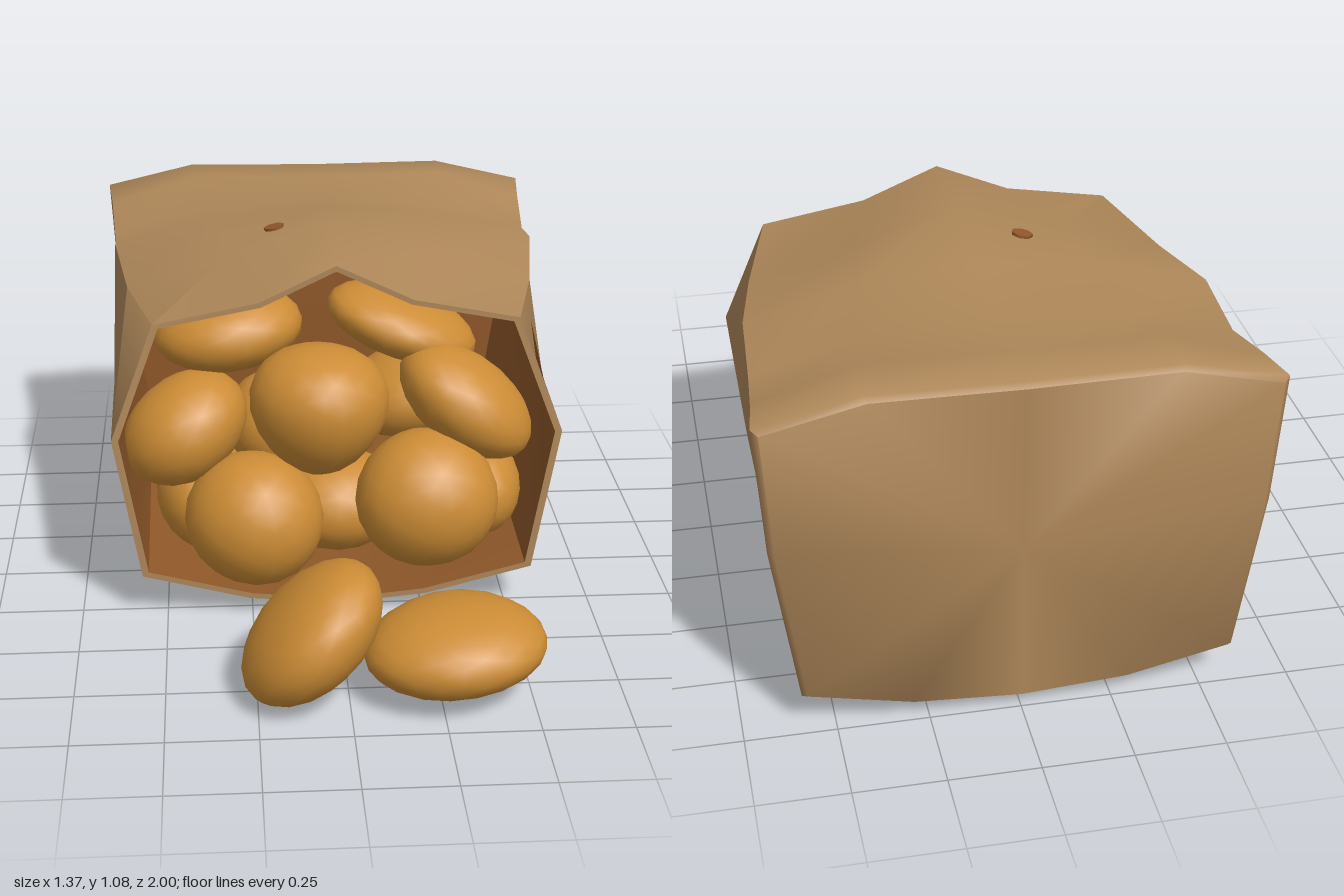
import * as THREE from 'three';
import { mergeVertices, toCreasedNormals } from 'three/addons/utils/BufferGeometryUtils.js';

const mat = (name, color, extra = {}) =>
  Object.assign(new THREE.MeshStandardMaterial({ color, ...extra }), { name });

// Closed ring from a half section (bottom centre to top centre), mirrored in x.
// lean pulls the upper points back, for the slanted mouth.
function ring(z, half, lean = 0) {
  const all = [...half, ...half.slice(1, -1).reverse().map(([x, y]) => [-x, y])];
  return all.map(([x, y]) => new THREE.Vector3(x, y, z - lean * Math.max(0, (y - 0.58) / 0.48)));
}

const inset = (r, k, dz = 0) =>
  r.map(p => new THREE.Vector3(p.x * k, 0.54 + (p.y - 0.54) * k, p.z + dz));

// Skin between consecutive rings
function loft(rings, crease) {
  const n = rings[0].length, pos = [], idx = [];
  rings.forEach(r => r.forEach(p => pos.push(p.x, p.y, p.z)));
  for (let s = 0; s < rings.length - 1; s++) {
    for (let i = 0; i < n; i++) {
      const a = s * n + i, b = s * n + (i + 1) % n;
      idx.push(a, a + n, b, b, a + n, b + n);
    }
  }
  const g = new THREE.BufferGeometry();
  g.setAttribute('position', new THREE.Float32BufferAttribute(pos, 3));
  g.setIndex(idx);
  return toCreasedNormals(g, crease);
}

// Lumpy ellipsoid: taper widens the top, boxy squares it off a little
function potatoGeometry(rx, ry, rz, taper, seed) {
  let g = new THREE.IcosahedronGeometry(1, 3);
  g.deleteAttribute('normal');
  g.deleteAttribute('uv');
  g = mergeVertices(g, 1e-4);
  const p = g.attributes.position, v = new THREE.Vector3();
  for (let i = 0; i < p.count; i++) {
    v.fromBufferAttribute(p, i);
    const lump = 1 + 0.03 * Math.sin(2.3 * v.x + seed) * Math.cos(2.1 * v.z + seed * 1.7);
    const w = (1 + taper * v.y) * lump;
    p.setXYZ(i, v.x * rx * w, v.y * ry * lump, v.z * rz * w);
  }
  g.computeVertexNormals();
  return g;
}

export function createModel() {
  const model = new THREE.Group();
  const paper = mat('sack tan', 0xae8759);
  const lining = mat('lining brown', 0x8f5829);
  const skin = mat('potato ochre', 0xcc8c35);

  const add = (parent, name, geometry, material) => {
    const mesh = new THREE.Mesh(geometry, material);
    mesh.name = name;
    parent.add(mesh);
    return mesh;
  };

  // Sack lying on its side, sections from the mouth to the closed end
  const sections = [
    ring(0.3, [[0, .045], [.26, .07], [.57, .15], [.645, .58], [.52, .91], [.22, .965], [0, 1.065]], 0.075),
    ring(-0.1, [[0, .035], [.28, .05], [.575, .155], [.65, .6], [.6, .905], [.3, 1.0], [0, 1.095]]),
    ring(-0.4, [[0, .03], [.28, .045], [.58, .135], [.652, .6], [.645, .945], [.33, 1.03], [0, 1.06]]),
    ring(-0.62, [[0, .025], [.3, .05], [.565, .15], [.65, .6], [.655, .905], [.38, .98], [0, 1.015]]),
    ring(-0.83, [[0, .03], [.3, .065], [.57, .15], [.655, .6], [.67, .95], [.4, 1.035], [0, 1.03]]),
    ring(-0.98, [[0, .045], [.3, .065], [.59, .13], [.66, .6], [.685, .97], [.41, 1.035], [0, 1.03]]),
  ];
  const last = sections[sections.length - 1];
  const shut = z => last.map(() => new THREE.Vector3(0, 0.54, z));
  const inner = sections.map((r, i) => inset(r, 0.968, i === sections.length - 1 ? 0.02 : 0));

  const sack = new THREE.Group();
  sack.name = 'sack';
  model.add(sack);
  // Outer skin with the rim of the mouth and the back wall
  add(sack, 'sackShell', loft([inner[0], ...sections, inset(last, 0.975, -0.018), shut(-1)], 0.95), paper);
  // Lining, lofted from back to front so it faces inward
  add(sack, 'sackLining', loft([shut(-0.955), ...inner.slice().reverse()], 0.95), lining);

  // Two small worn spots on the top
  for (const [x, s, r] of [[-0.16, -1, 0.031], [0.13, 1, 0.04]]) {
    const spot = add(sack, 'wornSpot', new THREE.CylinderGeometry(r, r, 0.008, 7), lining);
    spot.position.set(x, 1.082 - 0.23 * Math.abs(x), -0.22);
    spot.rotation.z = -s * 0.226;
    spot.scale.z = 0.85;
  }

  // Potatoes: x, y, z, radii, tilt in degrees, taper
  const potatoes = [
    [-.31, .77, -.10, .225, .12, .2, 7, 0],
    [.22, .77, -.12, .235, .1, .2, -20, 0],
    [-.44, .52, .06, .2, .15, .19, 35, 0],
    [-.04, .59, .12, .2, .2, .2, 0, .2],
    [.4, .58, .05, .235, .13, .2, -38, 0],
    [-.24, .28, .19, .205, .2, .2, 0, 0],
    [.27, .33, .19, .215, .205, .2, 0, 0],
    [-.1, .2, .77, .235, .135, .225, 45, .08],
    [.29, .16, .78, .25, .12, .22, 4, 0],
    // Second layer inside
    [-.38, .27, -.02, .15, .17, .2, 20, 0],
    [.45, .28, -.02, .13, .15, .2, 0, 0],
    [-.16, .48, -.08, .16, .15, .2, 0, 0],
    [.24, .56, -.1, .2, .13, .2, 15, 0],
    [.02, .22, -.06, .2, .15, .2, 0, 0],
  ];
  const heap = new THREE.Group();
  heap.name = 'potatoes';
  model.add(heap);
  potatoes.forEach(([x, y, z, rx, ry, rz, tilt, taper], i) => {
    const potato = add(heap, i === 7 || i === 8 ? 'loosePotato' : 'potato',
      potatoGeometry(rx, ry, rz, taper, i * 1.3), skin);
    potato.position.set(x, y, z);
    potato.rotation.z = tilt * Math.PI / 180;
  });

  return model;
}
